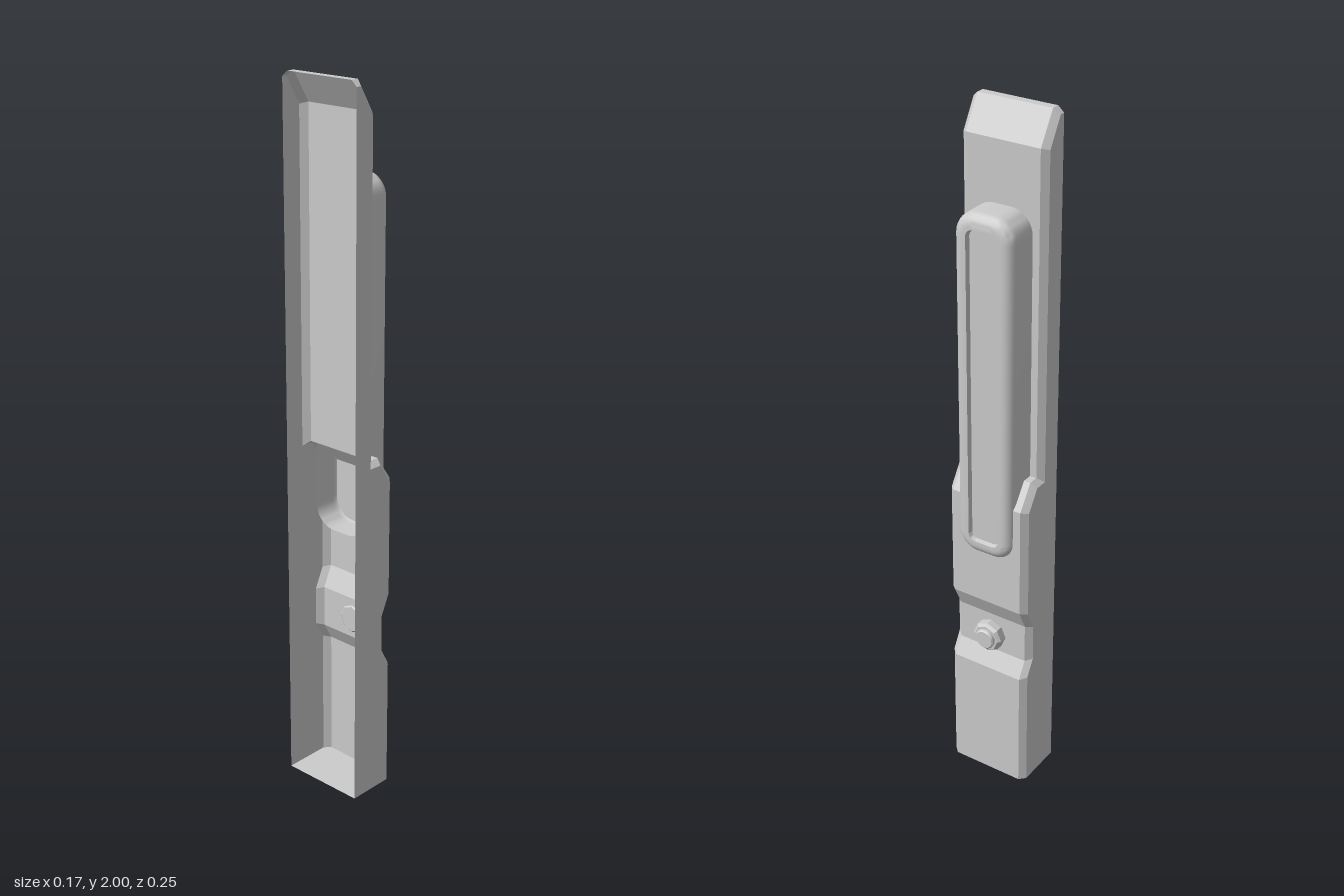
import * as THREE from 'three';
import { toCreasedNormals } from 'three/addons/utils/BufferGeometryUtils.js';

const material = new THREE.MeshStandardMaterial({ color: 0xcccccc, side: THREE.DoubleSide });

function addMesh(parent, name, geometry) {
  const mesh = new THREE.Mesh(geometry, material);
  mesh.name = name;
  parent.add(mesh);
  return mesh;
}

// Joins rows of points (all the same length) with quads; closed wraps each row around
function skin(rows, closed, crease) {
  const n = rows[0].length;
  const index = [];
  for (let i = 0; i < rows.length - 1; i++) {
    for (let k = 0; k < (closed ? n : n - 1); k++) {
      const l = (k + 1) % n;
      const a = i * n + k, b = i * n + l, c = a + n, d = b + n;
      index.push(d, c, a, d, a, b);
    }
  }
  const geometry = new THREE.BufferGeometry();
  geometry.setAttribute('position', new THREE.Float32BufferAttribute(rows.flat(2), 3));
  geometry.setIndex(index);
  return toCreasedNormals(geometry, crease);
}

// Outline of a rounded rectangle in the y-z plane, running anticlockwise seen from +x
function roundedLoop(x, centreY, halfZ, halfY, radius, steps = 8) {
  const points = [];
  const corners = [[1, 1], [-1, 1], [-1, -1], [1, -1]];
  corners.forEach(([sz, sy], q) => {
    for (let i = 0; i <= steps; i++) {
      const a = (q + i / steps) * Math.PI / 2;
      points.push([
        x,
        centreY + sy * (halfY - radius) + radius * Math.sin(a),
        sz * (halfZ - radius) + radius * Math.cos(a),
      ]);
    }
  });
  return points;
}

// Stepped channel, open at the back (-x), with bevelled long edges
function createChannel() {
  const group = new THREE.Group();
  group.name = 'channel';
  const halfWidth = 0.125, faceHalf = 0.108;

  // Profiles [x, y] of the face edge and of the side wall edge, from the top down
  const face = [
    [-0.085, 2], [-0.062, 2], [-0.01, 1.915], [-0.01, 1], [0.02, 1], [0.068, 0.93],
    [0.068, 0.6], [0.04, 0.54], [0.04, 0.42], [0.068, 0.37], [0.068, 0], [-0.085, 0],
  ];
  const side = [
    [-0.085, 1.985], [-0.07, 1.985], [-0.026, 1.91], [-0.026, 0.985], [0.012, 0.985], [0.051, 0.925],
    [0.051, 0.595], [0.023, 0.535], [0.023, 0.425], [0.051, 0.375], [0.051, 0], [-0.085, 0],
  ];
  const rows = face.map((p, i) => [
    [...side[i], -halfWidth], [...p, -faceHalf], [...p, faceHalf], [...side[i], halfWidth],
  ]);
  addMesh(group, 'steppedFace', skin(rows, false, 0.1));

  // Side walls
  const wall = new THREE.ShapeGeometry(new THREE.Shape(side.map(([x, y]) => new THREE.Vector2(x, y))));
  addMesh(group, 'leftWall', wall).position.z = halfWidth;
  addMesh(group, 'rightWall', wall).position.z = -halfWidth;
  return group;
}

// Long hollow cover with a rounded rim and a sunken front panel
function createCover() {
  const centreY = 1.255, halfZ = 0.088, halfY = 0.495, radius = 0.062, fillet = 0.03, front = 0.085;
  const section = [[-0.01, 0]]; // [x, inset]
  for (let i = 0; i <= 6; i++) {
    const a = i / 6 * Math.PI / 2;
    section.push([front - fillet + fillet * Math.sin(a), fillet * (1 - Math.cos(a))]);
  }
  section.push([front, 0.041], [0.073, 0.045]);
  const rows = section.map(([x, inset]) =>
    roundedLoop(x, centreY, halfZ - inset, halfY - inset, radius - inset));
  // Close the sunken panel on its centre line
  rows.push(rows[rows.length - 1].map(([x, y]) =>
    [x, THREE.MathUtils.clamp(y, centreY - 0.42, centreY + 0.42), 0]));
  rows.reverse();
  // Reversed rows need reversed loops to keep the faces outward
  rows.forEach((row) => row.reverse());
  return skin(rows, true, 0.6);
}

// Bolt: bevelled nut with a round stud end, pointing along +x
function createBolt() {
  const group = new THREE.Group();
  group.name = 'bolt';
  const lathe = (points, sides, crease) => toCreasedNormals(
    new THREE.LatheGeometry(points.map(([r, x]) => new THREE.Vector2(r, x)), sides).rotateZ(-Math.PI / 2),
    crease);
  addMesh(group, 'nut', lathe([[0.038, 0.036], [0.046, 0.044], [0.046, 0.066], [0.038, 0.074], [0, 0.074]], 8, 0.1));
  addMesh(group, 'stud', lathe([[0.03, 0.07], [0.03, 0.081], [0.026, 0.085], [0, 0.085]], 20, 0.5));
  group.position.y = 0.477;
  return group;
}

export function createModel() {
  const model = new THREE.Group();
  model.name = 'channelWithCover';
  model.add(createChannel());
  addMesh(model, 'cover', createCover());
  model.add(createBolt());
  return model;
}
